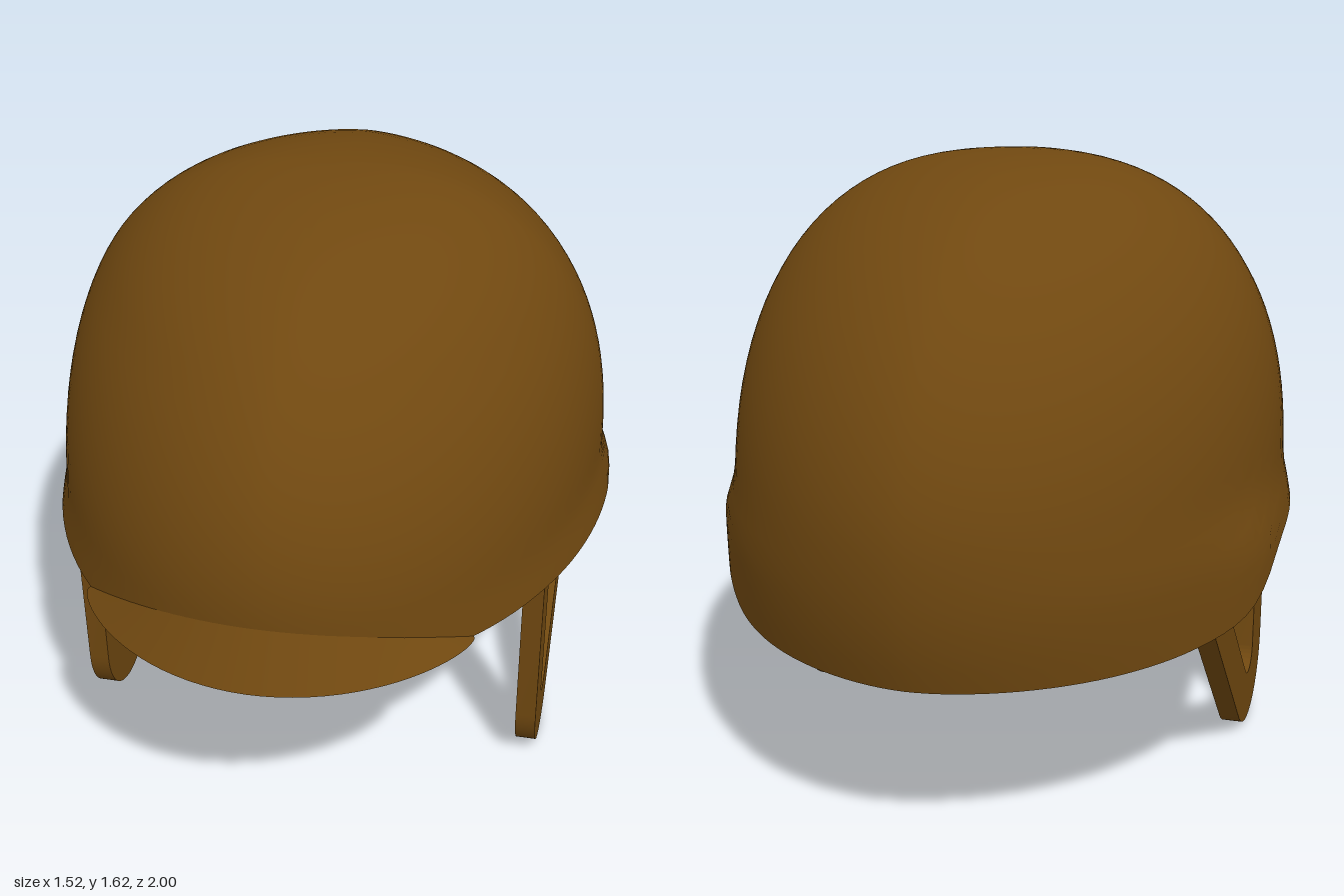
import * as THREE from 'three';
import { toCreasedNormals } from 'three/addons/utils/BufferGeometryUtils.js';

const material = new THREE.MeshStandardMaterial({ color: 0x704810 });
const CROWN = 1.62, THICK = 0.12, BASE = 0.8, CENTRE = -0.08;
const FRONT_POWER = 1.95, BACK_POWER = 1.8, TOP_POWER = 1.7;

// Signed power, for superellipse sections
const spow = (v, p) => Math.sign(v) * Math.pow(Math.abs(v), p);

// Height of the lower edge as a function of z: low nape, raised front
const edge = new THREE.CubicInterpolant(
  [-1, -0.75, -0.58, -0.45, -0.37, -0.3, -0.22, -0.12, 0.02, 0.3, 1],
  [0.447, 0.455, 0.468, 0.49, 0.52, 0.565, 0.62, 0.657, 0.675, 0.687, 0.693], 1);
function rimY(a) {
  const c = Math.cos(a);
  const z = c > 0 ? spow(c, 2 / FRONT_POWER) : 0.92 * spow(c, 2 / BACK_POWER);
  return edge.evaluate(CENTRE + z)[0];
}

// Point of the egg-shaped dome at angle a (0 = front, towards +x) and height y
function domePoint(a, y, inset = 0) {
  const s = THREE.MathUtils.clamp((y - BASE) / (CROWN - inset - BASE), 0, 1);
  const c = Math.cos(a), n = Math.sin(a);
  const power = 2 / THREE.MathUtils.lerp(c > 0 ? FRONT_POWER : BACK_POWER, TOP_POWER, Math.min(1, s * 1.6));
  const round = Math.sqrt(1 - s * s);
  const flare = 1 - THREE.MathUtils.smoothstep(y, 0.66, 0.82);
  const tuck = 0.55 * Math.max(0, 0.75 - y) ** 2;
  const length = c > 0 ? 1 - inset : 0.92 - tuck - inset;
  const z = CENTRE + 0.05 * s + spow(c, power) * length * round;
  // Ear bulge just behind the middle of each side
  const ear = 0.02 * flare * Math.exp(-(((z + 0.33) / 0.15) ** 2));
  const width = (0.735 + 0.026 * flare + ear - inset) * Math.pow(1 - Math.pow(s, 2.45), 1 / 2.45);
  return [spow(n, power) * width, y, z];
}

// Skin between rows of points; rows run left to right, then upwards on the outside
function skin(rows, crease) {
  const n = rows[0].length, index = [];
  for (let i = 0; i < rows.length - 1; i++) {
    for (let j = 0; j < n - 1; j++) {
      const p = i * n + j, q = p + n;
      index.push(p, p + 1, q + 1, p, q + 1, q);
    }
  }
  const g = new THREE.BufferGeometry();
  g.setAttribute('position', new THREE.Float32BufferAttribute(rows.flat(2), 3));
  g.setIndex(index);
  return toCreasedNormals(g, crease);
}

// Shell: inner crown down to the rim, across it, and up the outside
function shellGeometry() {
  const cols = 128, steps = 32, rows = [];
  const ring = (t, inset) => Array.from({ length: cols + 1 }, (_, j) => {
    const a = (j % cols) / cols * Math.PI * 2, r = rimY(a);
    const y = t === 1 ? CROWN - inset : r + (CROWN - inset - r) * Math.sin(t * Math.PI / 2);
    return domePoint(a, y, inset);
  });
  for (let i = steps; i >= 0; i--) rows.push(ring(i / steps, THICK));
  for (let i = 0; i <= steps; i++) rows.push(ring(i / steps, 0));
  return skin(rows, 0.7);
}

// Brim: sloping wedge around the forehead that fades into the lower edge
function brimGeometry() {
  const half = 0.72, cols = 48, rows = [[], [], []];
  for (let j = 0; j <= cols; j++) {
    const u = Math.sin((j / cols - 0.5) * Math.PI), a = u * half, r = rimY(a);
    const out = 0.08 * Math.sqrt(Math.max(0, 1 - u * u));
    const p = domePoint(a, r);
    rows[0].push(p);
    rows[1].push([p[0] + Math.sin(a) * out, r, p[2] + Math.cos(a) * out]);
    rows[2].push(domePoint(a, r + 0.135 * (1 - u * u)));
  }
  return skin(rows, 0.5);
}

// Chin strap: flat V-shaped band with a rounded bottom
function strapGeometry() {
  const cz = 0.145, cy = 0.2, outer = 0.2, inner = 0.062;
  const frontAngle = -0.05, backAngle = -2.334;
  const at = (r, angle, along, dir) => [
    cz + r * Math.cos(angle) - dir * along * Math.sin(angle),
    cy + r * Math.sin(angle) + dir * along * Math.cos(angle)];
  const s = new THREE.Shape();
  s.moveTo(...at(outer, frontAngle, 0.53, 1));
  s.lineTo(...at(outer, frontAngle, 0, 1));
  s.absarc(cz, cy, outer, frontAngle, backAngle, true);
  s.lineTo(...at(outer, backAngle, 0.66, -1));
  s.lineTo(...at(inner, backAngle, 0.64, -1));
  s.lineTo(...at(inner, backAngle, 0, -1));
  s.absarc(cz, cy, inner, backAngle, frontAngle, false);
  s.lineTo(...at(inner, frontAngle, 0.53, 1));
  s.closePath();
  const g = new THREE.ExtrudeGeometry(s, { depth: 0.055, bevelEnabled: false, curveSegments: 20 });
  return toCreasedNormals(g.rotateY(-Math.PI / 2), 0.6);
}

export function createModel() {
  const model = new THREE.Group();
  model.name = 'helmet';
  const add = (name, geometry, x = 0) => {
    const mesh = new THREE.Mesh(geometry, material);
    mesh.name = name;
    mesh.position.x = x;
    model.add(mesh);
  };
  add('shell', shellGeometry());
  add('brim', brimGeometry());
  const strap = strapGeometry();
  add('leftChinStrap', strap, 0.64);
  add('rightChinStrap', strap, -0.585);
  return model;
}
